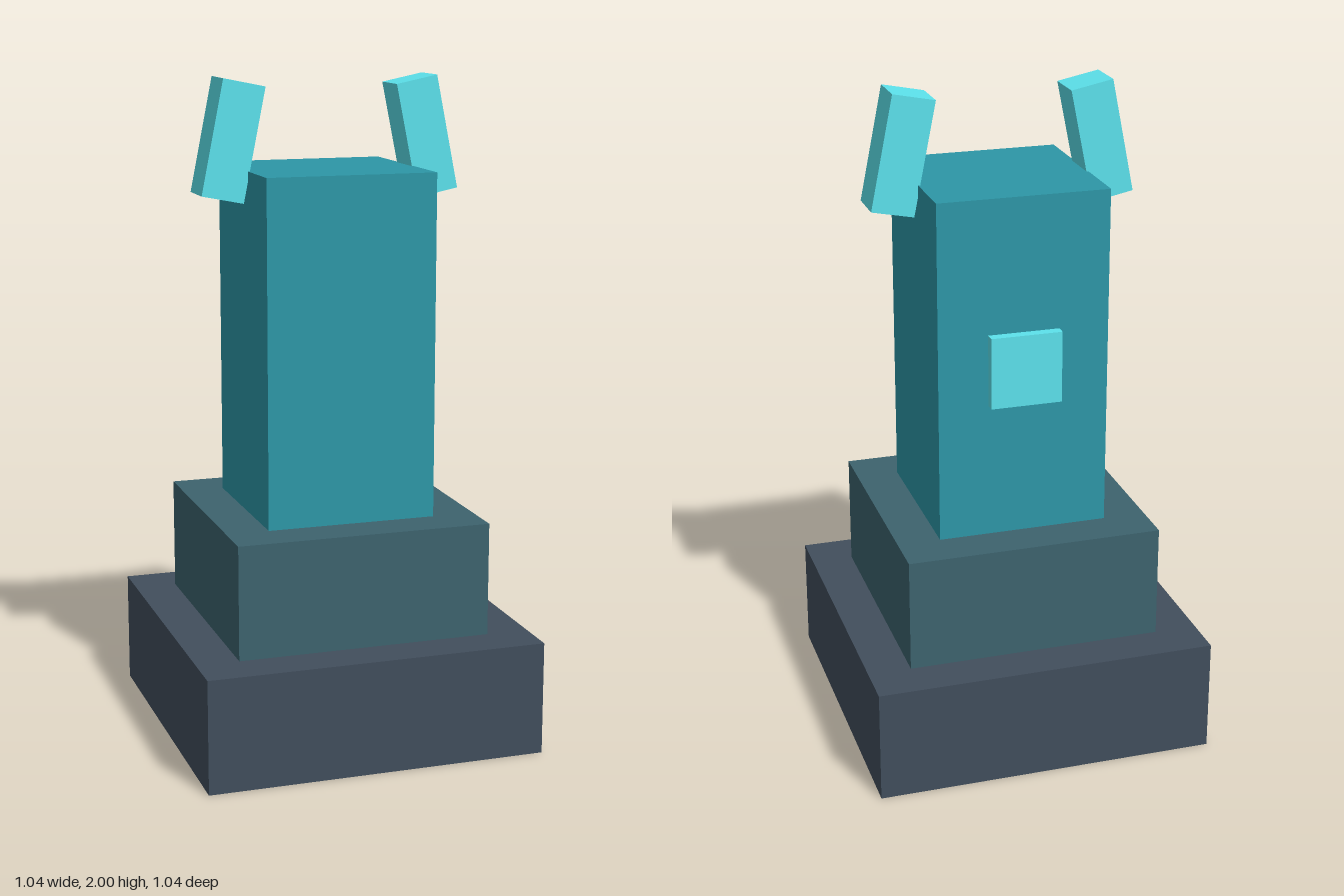
import * as THREE from 'three';

export function createModel() {
  const group = new THREE.Group();
  const material = (color) => new THREE.MeshStandardMaterial({ color, flatShading: true });
  const slate = material(0x414e5c);
  const greyTeal = material(0x3d636e);
  const teal = material(0x2d97a7);
  const cyan = material(0x5ce2ec);

  const addBox = (name, [w, h, d], [x, y, z], mat) => {
    const mesh = new THREE.Mesh(new THREE.BoxGeometry(w, h, d), mat);
    mesh.name = name;
    mesh.position.set(x, y, z);
    group.add(mesh);
    return mesh;
  };

  // Stepped plinth and tall column
  addBox('base', [1.036, 0.346, 1.036], [0, 0.173, 0], slate);
  addBox('upperStep', [0.777, 0.346, 0.777], [0, 0.519, 0], greyTeal);
  addBox('column', [0.518, 1.038, 0.518], [0, 1.211, 0], teal);

  // Panel on the back of the column
  addBox('backPanel', [0.216, 0.218, 0.06], [0, 1.214, -0.26], cyan);

  // Prongs at the top, leaning inwards
  for (const side of [1, -1]) {
    const prong = addBox(side > 0 ? 'leftProng' : 'rightProng',
      [0.13, 0.346, 0.13], [side * 0.301, 1.818, 0], cyan);
    prong.rotation.z = side * 0.2;
  }

  return group;
}
